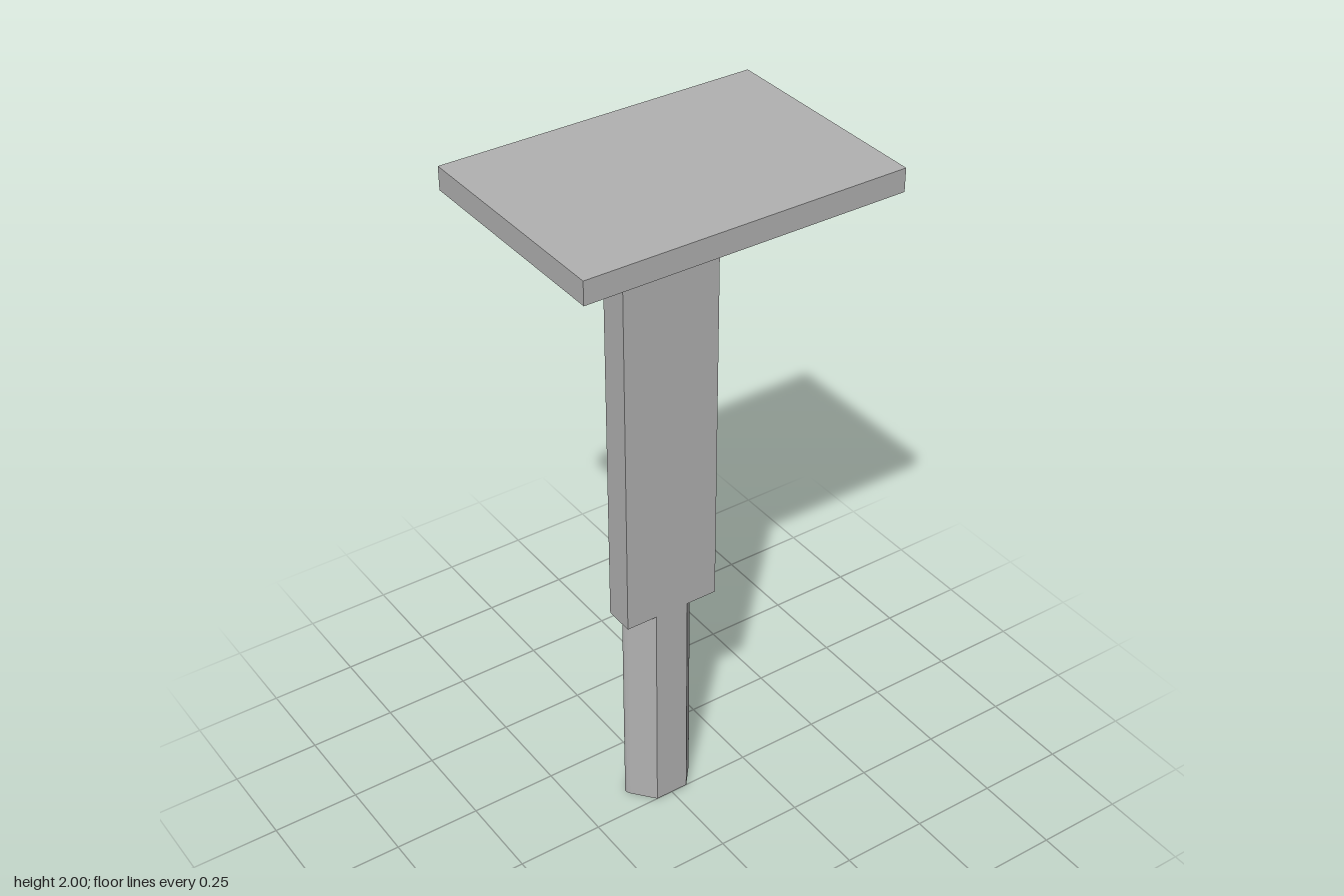
import * as THREE from 'three';
import { toCreasedNormals } from 'three/addons/utils/BufferGeometryUtils.js';

export function createModel() {
  const group = new THREE.Group();
  const grey = new THREE.MeshStandardMaterial({ color: 0xb2b2b2 });
  grey.name = 'grey';

  const add = (name, geometry, x, y, z) => {
    const mesh = new THREE.Mesh(geometry, grey);
    mesh.name = name;
    mesh.position.set(x, y, z);
    group.add(mesh);
  };

  // Flat rectangular top and the slab-like post under it
  add('topPlate', new THREE.BoxGeometry(0.888, 0.063, 0.622), 0, 1.9685, 0);
  add('upperPost', new THREE.BoxGeometry(0.282, 1.267, 0.085), 0, 1.3035, -0.0425);

  // Lower post: wide flat back, sloping front sides, small rounded rear corners.
  // Shape y becomes -z once the extrusion is stood upright.
  const section = new THREE.Shape();
  section.moveTo(-0.05, 0);
  section.lineTo(0.05, 0);
  section.lineTo(0.1, 0.06);
  section.bezierCurveTo(0.11, 0.072, 0.11, 0.085, 0.098, 0.085);
  section.lineTo(-0.098, 0.085);
  section.bezierCurveTo(-0.11, 0.085, -0.11, 0.072, -0.1, 0.06);
  section.closePath();
  const lower = new THREE.ExtrudeGeometry(section, { depth: 0.67, bevelEnabled: false, curveSegments: 8 });
  lower.rotateX(-Math.PI / 2);
  add('lowerPost', toCreasedNormals(lower, 0.6), 0, 0, 0);

  return group;
}
